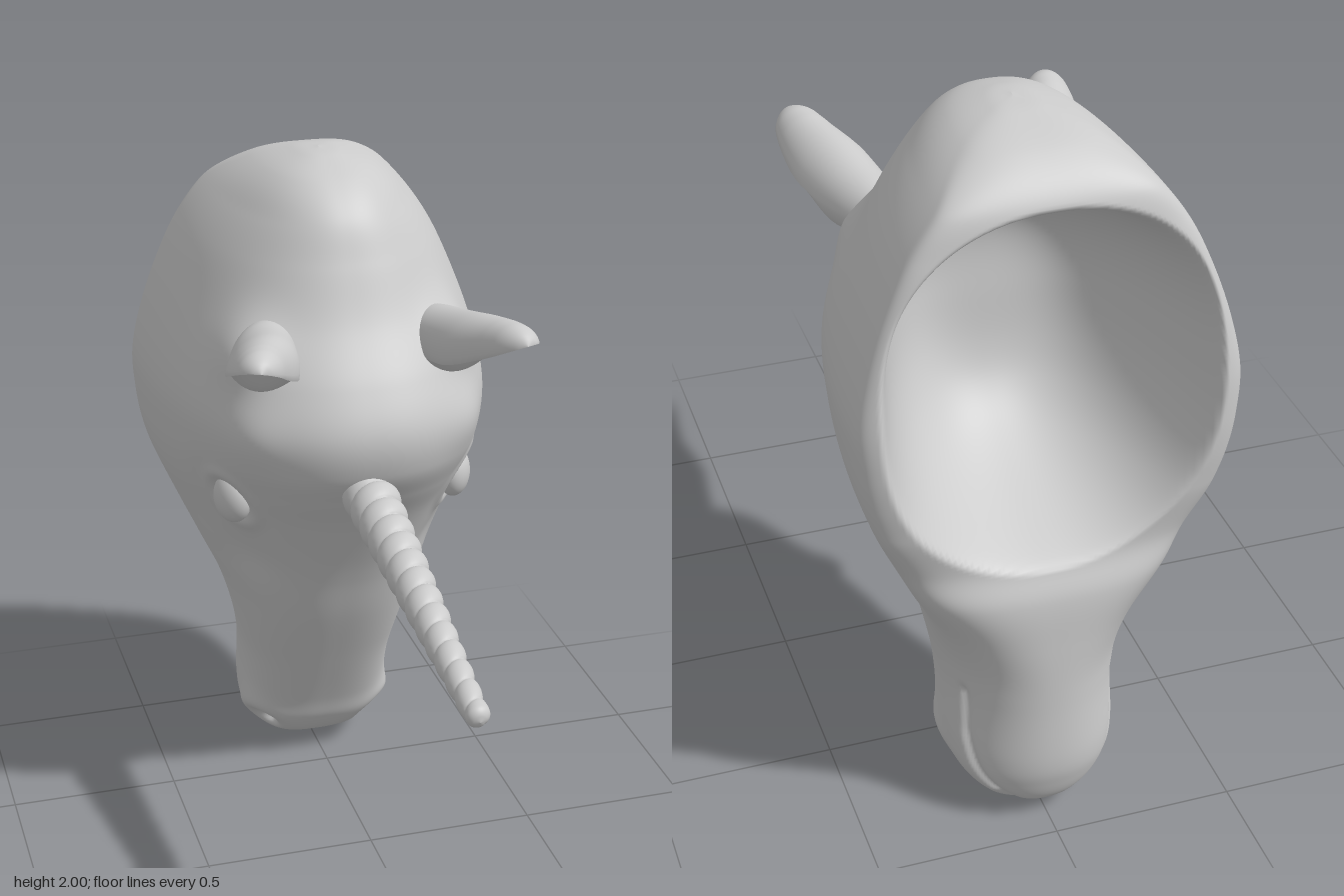
import * as THREE from 'three';

const material = () => new THREE.MeshStandardMaterial({ color: 0xcccccc, side: THREE.DoubleSide });
const V = (x, y, z) => new THREE.Vector3(x, y, z);
const smooth = (a, b, x) => THREE.MathUtils.smoothstep(x, a, b);
// Rounded end: 1 until start, then a quarter circle down to 0 at v = 1
const roundEnd = (start, v) => Math.sqrt(Math.max(0, 1 - Math.max(0, (v - start) / (1 - start)) ** 2));

// Closed loops of points joined into one smooth skin; fn(row 0..1, turn 0..1) gives a point.
function loft(name, rows, cols, fn) {
  const pos = [], index = [];
  for (let i = 0; i <= rows; i++) {
    for (let j = 0; j < cols; j++) pos.push(...fn(i / rows, j / cols).toArray());
  }
  for (let i = 0; i < rows; i++) {
    for (let j = 0; j < cols; j++) {
      const k = (j + 1) % cols;
      const a = i * cols + j, b = i * cols + k, c = a + cols, d = b + cols;
      index.push(a, b, d, a, d, c);
    }
  }
  const geo = new THREE.BufferGeometry();
  geo.setAttribute('position', new THREE.Float32BufferAttribute(pos, 3));
  geo.setIndex(index);
  geo.computeVertexNormals();
  const mesh = new THREE.Mesh(geo, material());
  mesh.name = name;
  return mesh;
}

// Head profile from chin to crown: height, front z, back z, half width
const profile = [
  [0, -0.79, -0.81, 0], [0.015, -0.69, -0.87, 0.09], [0.06, -0.60, -0.925, 0.165],
  [0.13, -0.54, -0.955, 0.215], [0.22, -0.50, -0.97, 0.23], [0.4, -0.41, -0.965, 0.235],
  [0.6, -0.31, -0.96, 0.28], [0.75, -0.245, -0.95, 0.345], [0.86, -0.19, -0.915, 0.395],
  [1.0, -0.11, -0.925, 0.455], [1.1, -0.04, -0.935, 0.485], [1.2, 0.02, -0.94, 0.50],
  [1.32, 0.035, -0.935, 0.505], [1.45, -0.02, -0.92, 0.48], [1.6, -0.12, -0.90, 0.43],
  [1.75, -0.19, -0.88, 0.36], [1.87, -0.25, -0.85, 0.27], [1.95, -0.34, -0.76, 0.17],
  [1.99, -0.45, -0.63, 0.07], [2, -0.53, -0.54, 0],
];
const depthCurve = new THREE.CatmullRomCurve3(profile.map(p => V(p[0], p[1], p[2])), false, 'catmullrom');
const widthCurve = new THREE.CatmullRomCurve3(profile.map(p => V(p[0], p[3], 0)), false, 'catmullrom');

// Local swellings and hollows, mirrored in x: centre x, y, z, radius, amount
const eyeCentre = V(0.335, 1.06, -0.275);
const bumps = [
  [0.31, 1.30, -0.12, 0.13, 0.02],     // brow
  [0.35, 1.06, -0.27, 0.12, -0.035],   // eye socket
  [0.30, 1.53, -0.21, 0.13, 0.045],    // ear root
  [0.20, 0.13, -0.62, 0.10, 0.04],     // nostril flare
  [0.20, 0.095, -0.61, 0.065, -0.12],  // nostril
  [0.27, 0.85, -0.34, 0.13, -0.02],    // hollow below the eye
];

// Mouth line in the side plane (y, z)
const mouth = [[0.40, -0.82], [0.27, -0.835], [0.15, -0.875], [0.08, -0.895], [0.0, -0.875]];
function mouthDistance(y, z) {
  let best = 9;
  for (let i = 1; i < mouth.length; i++) {
    const [ay, az] = mouth[i - 1], dy = mouth[i][0] - ay, dz = mouth[i][1] - az;
    const t = THREE.MathUtils.clamp(((y - ay) * dy + (z - az) * dz) / (dy * dy + dz * dz), 0, 1);
    best = Math.min(best, Math.hypot(y - ay - t * dy, z - az - t * dz));
  }
  return best;
}

function headPoint(v, u) {
  const d = depthCurve.getPoint(v);
  const y = THREE.MathUtils.clamp(d.x, 0, 2), zF = d.y, zB = d.z;
  const w = Math.max(0, widthCurve.getPoint(v).y);
  // Muzzle is a rounded box; the skull is widest near its back rim
  const skull = smooth(0.45, 1.0, y) * (1 - 0.5 * smooth(1.85, 2, y));
  const zW = THREE.MathUtils.lerp(zB + (zF - zB) * 0.5, zB + (zF - zB) * 0.11, skull);
  const s = Math.sin(u * Math.PI * 2), c = Math.cos(u * Math.PI * 2);
  const n = c > 0 ? 2.7 - 0.4 * skull : 2.1 + 1.7 * skull;
  const r = (Math.abs(s) ** n + Math.abs(c) ** n) ** (-1 / n);
  const p = V(w * s * r, y, zW + (c > 0 ? zF - zW : zW - zB) * c * r);

  const out = V(p.x, 0, p.z - zW).normalize();
  let push = 0;
  for (const [bx, by, bz, rad, amount] of bumps) {
    const q = Math.hypot(Math.abs(p.x) - bx, y - by, p.z - bz) / rad;
    push += amount * Math.exp(-q * q * 1.6);
  }
  // Soft eyelids in a ring round the eye
  const lid = Math.hypot((y - eyeCentre.y) * 0.9, p.z - eyeCentre.z, Math.abs(p.x) - eyeCentre.x);
  push += 0.015 * Math.exp(-(((lid - 0.088) / 0.025) ** 2));
  if (y < 0.5) push -= 0.018 * Math.exp(-((mouthDistance(y, p.z) / 0.016) ** 2));
  p.addScaledVector(out, push);

  // Deep open bowl at the back with a rounded rim
  if (c < 0) {
    const dy = (y - 1.36) / (y > 1.36 ? 0.49 : 0.53);
    const t = 1 - (Math.abs(p.x / 0.45) ** 2.3 + Math.abs(dy) ** 2.3) ** (1 / 2.3);
    if (t > 0) p.z += 0.57 * (1 - (1 - t * t / (t + 0.08)) ** 4);
  }
  return p;
}

// Cupped ear, hollow on its underside: path points, then half width and height
const earPath = new THREE.CatmullRomCurve3([
  V(0.20, 1.53, -0.35), V(0.265, 1.525, -0.15), V(0.305, 1.53, 0.0), V(0.345, 1.58, 0.13), V(0.365, 1.635, 0.245)]);
const earSize = new THREE.CatmullRomCurve3([
  V(0.07, 0.08, 0), V(0.095, 0.10, 0), V(0.105, 0.125, 0), V(0.08, 0.095, 0), V(0.05, 0.045, 0)]);
function earPoint(side, v, u) {
  const c = earPath.getPoint(v), e = earSize.getPoint(v);
  const a = side * u * Math.PI * 2, under = Math.sin(a) < 0;
  const taper = roundEnd(0.84, v) * roundEnd(0.75, 1 - v);
  const scoop = THREE.MathUtils.lerp(-0.75, 0.6, smooth(0.3, 0.6, v)) * (1 - smooth(0.82, 1, v));
  const across = Math.cos(a) * e.x * taper * (under ? 1 + 0.15 * Math.sin(a) : 1);
  const up = Math.sin(a) * e.y * taper * (under ? -scoop : 1);
  return V(side * (c.x + 0.98 * across - 0.18 * up), c.y + 0.18 * across + 0.98 * up, c.z);
}

// Tapered horn with one ridge winding round it
const hornBase = V(0, 1.15, -0.08), hornTip = V(0, 0.945, 0.97);
const hornUp = hornTip.clone().sub(hornBase).normalize().cross(V(1, 0, 0));
function hornPoint(v, u) {
  const a = u * Math.PI * 2;
  const ridge = 0.76 + 0.24 * Math.sqrt(Math.abs(Math.sin(a / 2 - v * Math.PI * 14)));
  const r = (0.083 - 0.05 * v) * ridge * roundEnd(0.975, v);
  return hornBase.clone().lerp(hornTip, v)
    .add(V(r * Math.cos(a), 0, 0)).addScaledVector(hornUp, r * Math.sin(a));
}

export function createModel() {
  const model = new THREE.Group();
  model.name = 'hornedHorseHead';
  model.add(loft('head', 240, 220, headPoint));
  model.add(loft('horn', 300, 32, hornPoint));

  for (const side of [1, -1]) {
    const label = side > 0 ? 'left' : 'right';
    model.add(loft(label + 'Ear', 60, 40, (v, u) => earPoint(side, v, u)));

    const eye = new THREE.Mesh(new THREE.SphereGeometry(0.064, 28, 20), material());
    eye.name = label + 'Eye';
    eye.position.set(side * eyeCentre.x, eyeCentre.y, eyeCentre.z);
    eye.rotation.y = side * 1.05;
    eye.scale.set(1, 1.2, 0.75);
    model.add(eye);
  }
  return model;
}
